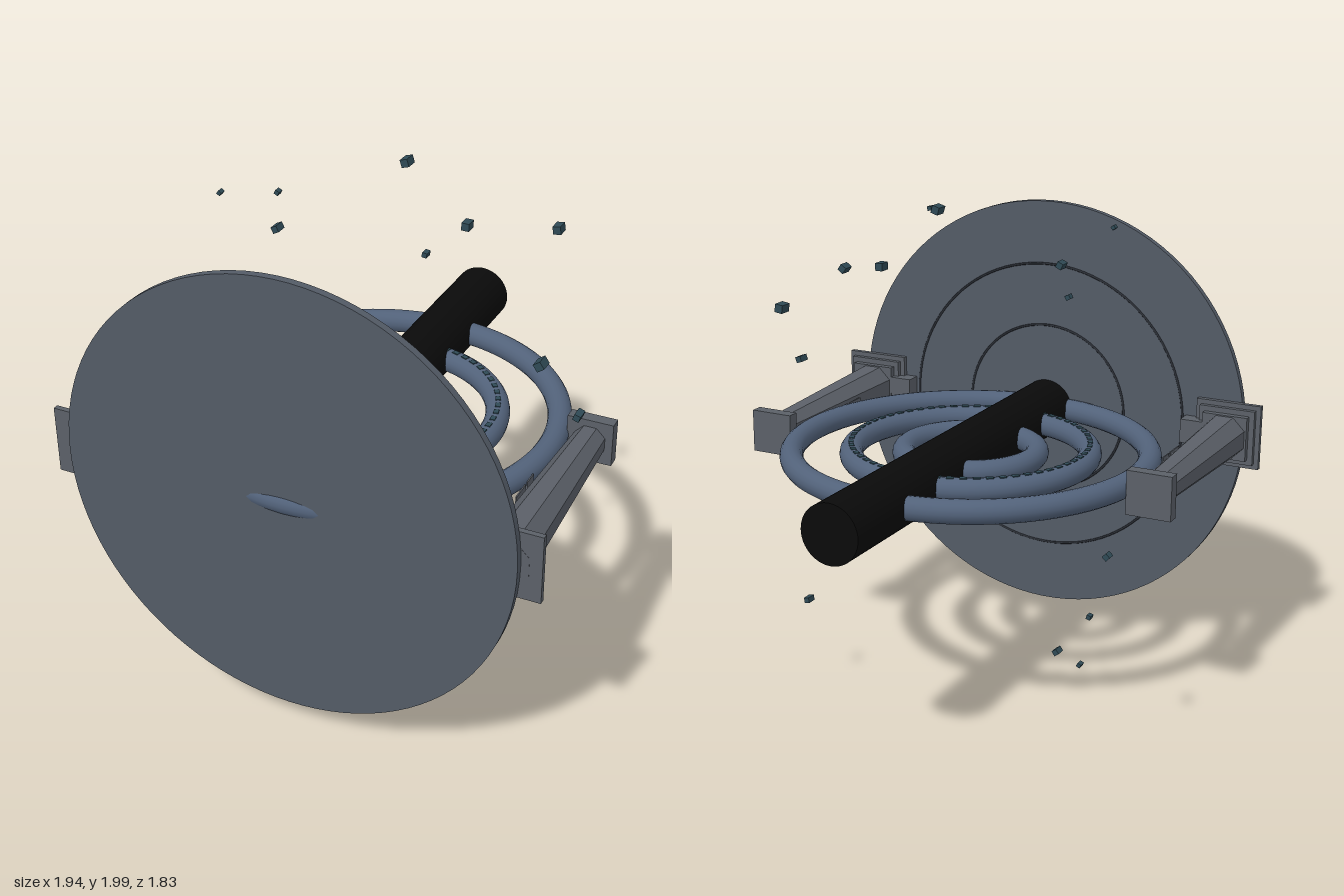
import * as THREE from 'three';

const Y = 0.9975; // height of the main axis
const RING_Z = 0.155; // centre of the flat rings

const mat = (color) => new THREE.MeshStandardMaterial({ color });

export function createModel() {
  const model = new THREE.Group();
  const stone = mat(0x5b6068), slate = mat(0x535b66), steel = mat(0x52627a);
  const black = mat(0x0a0a0a), teal = mat(0x2f4a55), dark = mat(0x2a2e35);
  const facet = stone.clone();
  facet.flatShading = true;

  const add = (parent, name, geometry, material, x = 0, y = 0, z = 0) => {
    const mesh = new THREE.Mesh(geometry, material);
    mesh.name = name;
    mesh.position.set(x, y, z);
    parent.add(mesh);
    return mesh;
  };
  const box = (w, h, d) => new THREE.BoxGeometry(w, h, d);

  // Large upright disc with two thin rings on its back
  add(model, 'disc', new THREE.CylinderGeometry(0.89, 0.89, 0.03, 96).rotateX(Math.PI / 2), slate, 0, Y, 0.885);
  for (const r of [0.36, 0.625]) {
    add(model, 'discRing', new THREE.TorusGeometry(r, 0.005, 6, 96), dark, 0, Y, 0.869);
  }

  // Dark beam running back from the disc
  add(model, 'beam', new THREE.CylinderGeometry(0.117, 0.117, 1.8, 48).rotateX(Math.PI / 2), black, 0, Y, -0.015);

  // Concentric flat rings
  for (const r of [0.265, 0.475, 0.712]) {
    add(model, 'ring', new THREE.TorusGeometry(r, 0.047, 16, 96).rotateX(Math.PI / 2), steel, 0, Y, RING_Z);
  }

  // Studs along the top of the middle ring
  const studs = new THREE.Group();
  studs.name = 'ringStuds';
  model.add(studs);
  const count = 60;
  for (let i = 0; i < count; i++) {
    const a = (i / count) * Math.PI * 2;
    const stud = add(studs, 'stud', box(0.02, 0.012, 0.028), teal,
      Math.cos(a) * 0.475, Y + 0.043, RING_Z + Math.sin(a) * 0.475);
    stud.rotation.y = -a;
  }

  // Pair of tapered eight-sided columns lying behind the disc
  for (const side of [-1, 1]) {
    const column = new THREE.Group();
    column.name = side > 0 ? 'leftColumn' : 'rightColumn';
    column.position.set(side * 0.83, Y, 0);
    model.add(column);
    const shaft = new THREE.CylinderGeometry(0.097, 0.064, 0.86, 8);
    shaft.rotateY(Math.PI / 8).rotateX(Math.PI / 2);
    add(column, 'shaft', shaft, facet, 0, 0, 0.44);
    add(column, 'capital', box(0.18, 0.175, 0.05), stone, 0, 0, 0.005);
    add(column, 'plinth', box(0.275, 0.27, 0.022), stone, 0, 0, 0.858);
    add(column, 'plinthStep', box(0.235, 0.23, 0.022), stone, 0, 0, 0.838);
    add(column, 'baseStep', box(0.19, 0.185, 0.03), stone, 0, 0, 0.815);
    add(column, 'sideBlock', box(0.12, 0.1, 0.066), stone, -side * 0.13, 0, 0.834);
    // Thin plates beside the shaft
    for (const [z, d] of [[0.395, 0.06], [0.485, 0.09]]) {
      add(column, 'sidePlate', box(0.005, 0.05, d), stone, -side * 0.094, 0, z);
    }
  }

  // Floating fragments: x, y, z, size, depth
  const fragments = [
    [0.075, 1.98, 0.025, 0.03, 0.05], [0.37, 1.885, 0.51, 0.018, 0.03],
    [-0.49, 1.9, 0.395, 0.015, 0.025], [-0.315, 1.755, 0.3, 0.025, 0.045],
    [0.295, 1.75, -0.025, 0.03, 0.045], [-0.505, 1.72, -0.05, 0.018, 0.026],
    [0.81, 1.585, 0.545, 0.03, 0.05], [0.525, 1.635, -0.375, 0.032, 0.05],
    [0.86, 1.245, 0.265, 0.025, 0.05], [-0.8, 0.86, -0.325, 0.022, 0.032],
    [-0.535, 0.39, 0.15, 0.018, 0.027], [0.55, 0.385, -0.205, 0.022, 0.04],
    [-0.235, 0.03, 0.515, 0.024, 0.045], [-0.365, 0.018, 0.46, 0.018, 0.03],
  ];
  fragments.forEach(([x, y, z, s, d], i) => {
    add(model, 'fragment', box(s, s, d), teal, x, y, z).rotation.z = 0.3 + i * 1.1;
  });

  return model;
}
